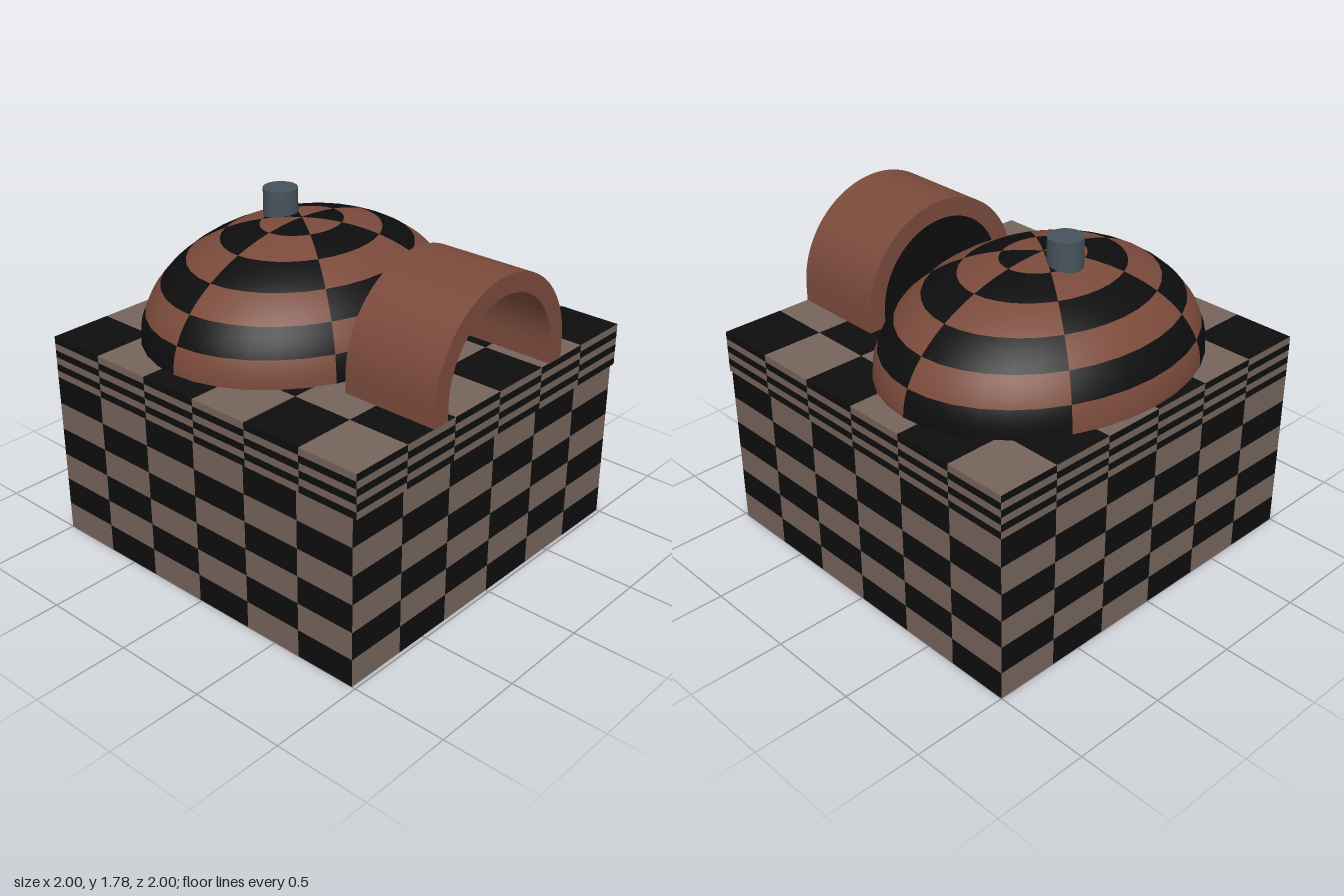
import * as THREE from 'three';

const mat = (name, color, extra = {}) => {
  const m = new THREE.MeshStandardMaterial({ color, ...extra });
  m.name = name;
  return m;
};

// Splits a geometry into two material groups, chequered 6 x 6 over its uv range.
function checker(geo, cells = 6) {
  const uv = geo.attributes.uv, idx = geo.index.array, sets = [[], []];
  for (let t = 0; t < idx.length; t += 3) {
    const tri = [idx[t], idx[t + 1], idx[t + 2]];
    const u = tri.reduce((s, k) => s + uv.getX(k), 0) / 3;
    const v = tri.reduce((s, k) => s + uv.getY(k), 0) / 3;
    sets[(Math.floor(u * cells) + Math.floor(v * cells)) % 2].push(...tri);
  }
  geo.setIndex([...sets[0], ...sets[1]]);
  geo.clearGroups();
  geo.addGroup(0, sets[0].length, 0);
  geo.addGroup(sets[0].length, sets[1].length, 1);
  return geo;
}

// Upright outline with a round top, standing on y = 0.
function archPath(path, r, legs) {
  path.moveTo(r, 0);
  path.lineTo(r, legs);
  path.absarc(0, legs, r, 0, Math.PI, false);
  path.lineTo(-r, 0);
  return path;
}

export function createModel() {
  const group = new THREE.Group();
  const stone = mat('stone', 0x75645a);
  const black = mat('black', 0x0d0d0d);
  const clay = mat('clay', 0x7a4a3b);
  const slate = mat('slate', 0x46525c);
  const panelBlack = black.clone();
  panelBlack.side = THREE.DoubleSide;

  const add = (name, geo, material, x, y, z) => {
    const mesh = new THREE.Mesh(geo, material);
    mesh.name = name;
    mesh.position.set(x, y, z);
    group.add(mesh);
    return mesh;
  };
  const block = (w, h, d) => checker(new THREE.BoxGeometry(w, h, d, 6, 6, 6));

  // Chequered walls and the roof slab that overhangs them at the front
  add('walls', block(2, 0.89, 1.98), [stone, black], 0, 0.445, -0.01);
  add('roofSlab', block(2, 0.225, 2), [stone, black], 0, 1.0025, 0);

  // Oval dome with six sectors and six rings
  const domeGeo = new THREE.SphereGeometry(1, 36, 18, 0, Math.PI * 2, 0, Math.PI / 2);
  domeGeo.scale(0.89, 0.545, 0.73);
  add('dome', checker(domeGeo), [clay, black], 0, 1.112, -0.245);

  // Chimney
  add('chimney', new THREE.CylinderGeometry(0.088, 0.088, 0.3, 24), slate, 0, 1.63, -0.39);

  // Vaulted porch: outer arch, then back along the inner arch
  const legs = 0.09, outer = 0.488, inner = 0.39;
  const porch = archPath(new THREE.Shape(), outer, legs);
  porch.lineTo(-inner, 0);
  porch.lineTo(-inner, legs);
  porch.absarc(0, legs, inner, Math.PI, 0, true);
  porch.lineTo(inner, 0);
  porch.closePath();
  const porchGeo = new THREE.ExtrudeGeometry(porch, { depth: 0.52, bevelEnabled: false, curveSegments: 24 });
  add('porchVault', porchGeo, clay, 0, 1.112, 0.48);

  // Dark door panel closing the back of the porch
  const panel = archPath(new THREE.Shape(), inner, legs);
  add('porchDoor', new THREE.ShapeGeometry(panel, 24), panelBlack, 0, 1.112, 0.49);

  return group;
}
